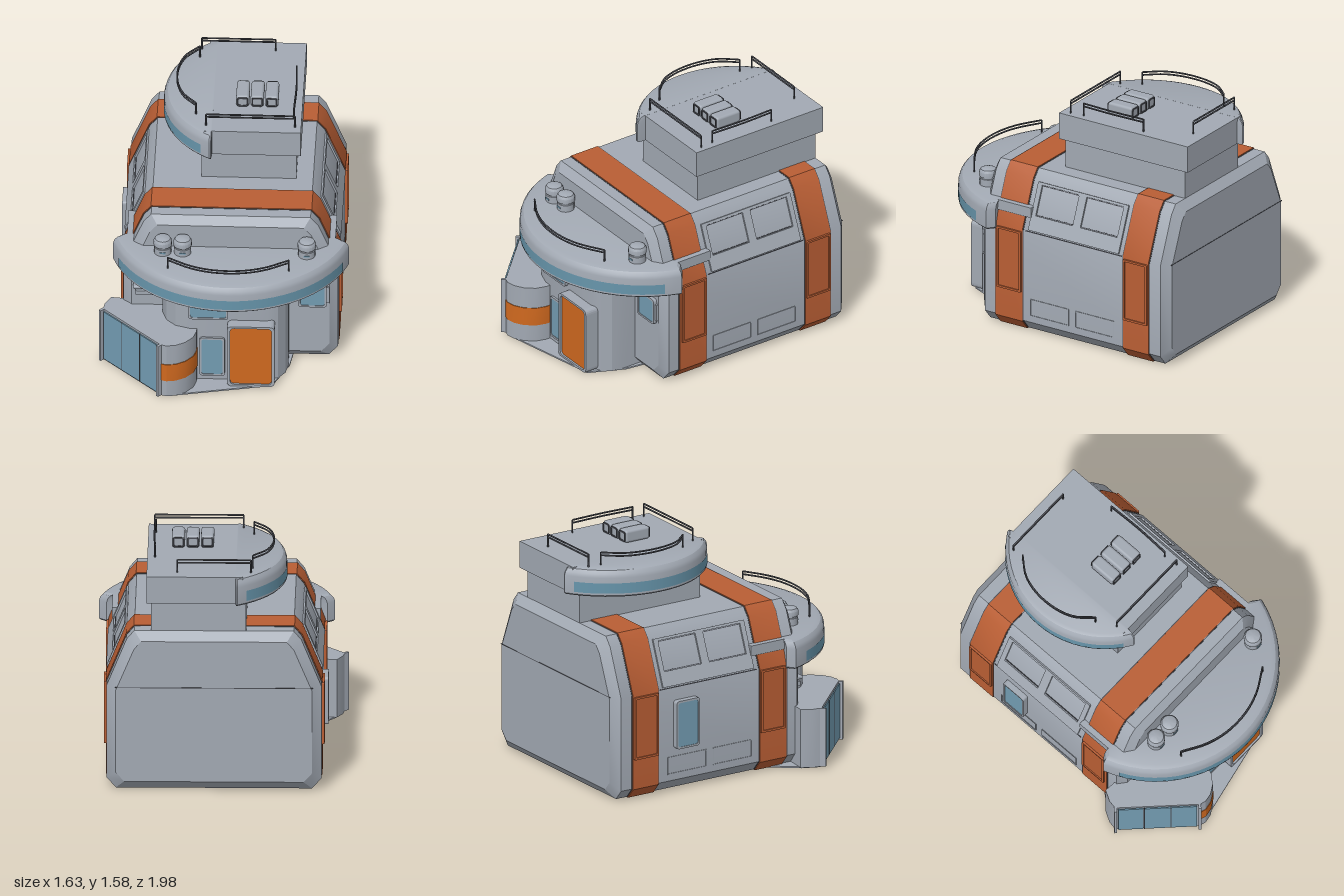
import * as THREE from 'three';
import { toCreasedNormals } from 'three/addons/utils/BufferGeometryUtils.js';
import { RoundedBoxGeometry } from 'three/addons/geometries/RoundedBoxGeometry.js';

const mat = (name, color, side = THREE.FrontSide) => {
  const m = new THREE.MeshStandardMaterial({ color, side });
  m.name = name;
  return m;
};

// Joins convex rings of [x, y, z] into a closed solid.
function loft(rings) {
  const n = rings[0].length, pos = rings.flat(2), idx = [];
  for (let r = 0; r < rings.length - 1; r++)
    for (let i = 0; i < n; i++) {
      const a = r * n + i, b = r * n + (i + 1) % n;
      idx.push(a, b, b + n, a, b + n, a + n);
    }
  const last = (rings.length - 1) * n;
  for (let i = 1; i < n - 1; i++) idx.push(0, i + 1, i, last, last + i, last + i + 1);
  // Turn the solid outward if its signed volume is negative
  const v = (k) => new THREE.Vector3().fromArray(pos, k * 3);
  let volume = 0;
  for (let i = 0; i < idx.length; i += 3) volume += v(idx[i]).dot(v(idx[i + 1]).cross(v(idx[i + 2])));
  if (volume < 0) idx.reverse();
  const g = new THREE.BufferGeometry();
  g.setAttribute('position', new THREE.Float32BufferAttribute(pos, 3));
  g.setIndex(idx);
  return toCreasedNormals(g, 0.45);
}

// Stacks a plan outline at [height, inset] levels, shrinking toward (cx, cz).
function stack(plan, levels, cx = 0, cz = 0) {
  return loft(levels.map(([y, d]) => plan.map(([x, z]) => {
    const k = 1 - d / Math.hypot(x - cx, z - cz);
    return [cx + (x - cx) * k, y, cz + (z - cz) * k];
  })));
}

function roundRect(w, h, r, Type = THREE.Shape) {
  const s = new Type(), x = w / 2, y = h / 2;
  s.moveTo(-x + r, -y).lineTo(x - r, -y).quadraticCurveTo(x, -y, x, -y + r);
  s.lineTo(x, y - r).quadraticCurveTo(x, y, x - r, y);
  s.lineTo(-x + r, y).quadraticCurveTo(-x, y, -x, y - r);
  s.lineTo(-x, -y + r).quadraticCurveTo(-x, -y, -x + r, -y);
  return s;
}

const extrude = (shape, depth) => new THREE.ExtrudeGeometry(shape, { depth, bevelEnabled: false, curveSegments: 5 });

function frameGeometry(w, h, border, depth, r = 0.01) {
  const s = roundRect(w, h, r);
  s.holes.push(roundRect(w - 2 * border, h - 2 * border, r * 0.8, THREE.Path));
  return extrude(s, depth);
}

export function createModel() {
  const root = new THREE.Group();
  root.name = 'outpostBuilding';
  const grey = mat('wallGrey', 0xa2a9b3);
  const rust = mat('bandRust', 0xb95e34);
  const orange = mat('doorOrange', 0xd0691f);
  const blue = mat('glassBlue', 0x739cb2);
  const visor = mat('visorBlue', 0x6795ab, THREE.DoubleSide);
  const dark = mat('railDark', 0x4b4d54);

  const add = (name, geo, m, x = 0, y = 0, z = 0, parent = root) => {
    const mesh = new THREE.Mesh(geo, m);
    mesh.name = name;
    mesh.position.set(x, y, z);
    parent.add(mesh);
    return mesh;
  };
  const box = (name, m, w, h, d, x, y, z, parent) => add(name, new THREE.BoxGeometry(w, h, d), m, x, y, z, parent);
  const windowUnit = (name, w, h, depth, x, y, z, parent = root) => {
    const g = new THREE.Group();
    g.name = name;
    g.position.set(x, y, z);
    parent.add(g);
    add('windowFrame', frameGeometry(w, h, 0.013, depth, 0.022), grey, 0, 0, 0, g);
    add('windowGlass', extrude(roundRect(w - 0.02, h - 0.02, 0.018), 0.006), blue, 0, 0, depth - 0.01, g);
    return g;
  };

  // Main hull with chamfered ends
  const half = [[0.64, 0.01], [0.70, 0.08], [0.70, 0.72], [0.57, 1.04], [0.52, 1.10]];
  const section = (z, d) => [...half, ...half.map(([x, y]) => [-x, y]).reverse()]
    .map(([x, y]) => [0.04 + x * (1 - d / 0.7), 0.555 + (y - 0.555) * (1 - d / 0.55), z]);
  add('mainHull', loft([section(-0.95, 0.06), section(-0.90, 0), section(0.475, 0), section(0.52, 0.055)]), grey);
  for (const [z0, z1] of [[0.18, 0.39], [-0.81, -0.61]]) {
    add('hullBand', loft([section(z0, -0.006), section(z1, -0.006)]), rust);
    for (const z of [z0 - 0.004, z1 + 0.004]) add('bandSeam', loft([section(z - 0.003, -0.002), section(z + 0.003, -0.002)]), dark);
  }
  box('backSeam', dark, 1.29, 0.005, 0.004, 0.04, 0.72, -0.95);

  // Fittings on both long sides
  for (const s of [1, -1]) {
    const side = new THREE.Group();
    side.name = s > 0 ? 'leftSide' : 'rightSide';
    side.position.set(0.04 + s * 0.70, 0, 0);
    side.rotation.y = s * Math.PI / 2;
    root.add(side);
    box('wallSeam', dark, 0.76, 0.006, 0.004, s * 0.22, 0.72, 0, side);
    for (const z of [0.28, -0.71]) {
      add('bandPanel', extrude(roundRect(0.19, 0.43, 0.008), 0.012), rust, -s * z, 0.495, 0, side);
      add('bandPanelFrame', frameGeometry(0.19, 0.43, 0.014, 0.02, 0.008), rust, -s * z, 0.495, 0, side);
    }
    for (const z of [-0.03, -0.385]) add('lowerPanel', frameGeometry(0.305, 0.12, 0.006, 0.004, 0.004), grey, -s * z, 0.185, 0, side);
    // Sloped roof panels
    const slope = new THREE.Group();
    slope.name = 'slopedPanels';
    slope.position.set(s * 0.22, 0.88, -0.065);
    slope.rotation.x = -0.386;
    side.add(slope);
    const frame = roundRect(0.71, 0.325, 0.006);
    for (const x of [-0.175, 0.175]) {
      const hole = new THREE.Path();
      hole.setFromPoints([[-0.145, -0.06], [0.145, -0.06], [0.145, 0.145], [-0.145, 0.145]].map(([a, b]) => new THREE.Vector2(x + a, b)));
      frame.holes.push(hole);
      for (const y of [-0.055, 0.14]) box('panelLine', dark, 0.28, 0.005, 0.004, x, y, 0.002, slope);
    }
    add('panelFrame', extrude(frame, 0.012), grey, 0, 0, 0, slope);
    box('canopyTrim', grey, 0.10, 0.07, 0.26, 0.04 + s * 0.63, 0.845, 0.26);
    if (s < 0) windowUnit('sideWindow', 0.18, 0.33, 0.04, -0.40, 0.465, 0, side);
  }

  // Front canopy with its curved visor
  const arc = (cx, cz, r, a0, a1, n) => Array.from({ length: n + 1 }, (_, i) => {
    const a = THREE.MathUtils.degToRad(a0 + (a1 - a0) * i / n);
    return [cx + r * Math.sin(a), cz + r * Math.cos(a)];
  });
  const canopy = [[-0.60, 0.40], [-0.68, 0.38], ...arc(0.04, 0.185, 0.805, -73, 73, 24), [0.76, 0.38], [0.68, 0.40]];
  add('canopy', stack(canopy, [[0.69, 0.012], [0.70, 0], [0.825, 0], [0.85, 0.008], [0.87, 0.025], [0.88, 0.055]], 0.04, 0.40), grey);
  const shell = (name, r, h, mid, spread, x, y, z) => {
    const d = THREE.MathUtils.degToRad;
    add(name, new THREE.CylinderGeometry(r, r, h, 24, 1, true, d(mid - spread), d(2 * spread)), visor, x, y, z);
  };
  shell('canopyVisor', 0.808, 0.07, 0, 65, 0.04, 0.75, 0.185);

  // Roof tower with rounded prow
  box('towerNeck', grey, 0.62, 0.24, 0.94, 0.14, 1.20, -0.43);
  box('towerHead', grey, 0.63, 0.183, 1.01, 0.165, 1.394, -0.435);
  const prow = [[-0.10, -0.95], [-0.105, -0.98], ...arc(0.219, -0.425, 0.649, -149, -31, 20), [-0.105, 0.13], [-0.10, 0.10]];
  add('towerProw', stack(prow, [[1.30, 0.01], [1.31, 0], [1.43, 0], [1.455, 0.008], [1.477, 0.025], [1.486, 0.05]], -0.10, -0.425), grey);
  shell('towerVisor', 0.652, 0.07, -90, 53, 0.219, 1.36, -0.425);

  // Railings: two rails with posts at both ends
  const railing = (name, pts, top, base, gap = 0.02) => {
    const g = new THREE.Group();
    g.name = name;
    root.add(g);
    for (const y of [top, top - gap]) {
      const curve = new THREE.CatmullRomCurve3(pts.map(([x, z]) => new THREE.Vector3(x, y, z)));
      add('rail', new THREE.TubeGeometry(curve, pts.length * 3, 0.006, 5), dark, 0, 0, 0, g);
    }
    for (const [x, z] of [pts[0], pts[pts.length - 1]])
      add('railPost', new THREE.CylinderGeometry(0.006, 0.006, top - base, 5), dark, x, (top + base) / 2, z, g);
  };
  railing('towerRailBack', [[-0.20, -0.85], [0.28, -0.85]], 1.573, 1.48);
  railing('towerRailLeft', [[0.43, -0.56], [0.437, -0.33], [0.43, -0.09]], 1.573, 1.48);
  railing('towerRailFront', [[-0.14, 0.005], [0.44, 0.005]], 1.573, 1.48);
  railing('towerRailCurved', [[-0.21, -0.76], [-0.30, -0.65], [-0.34, -0.52], [-0.34, -0.36], [-0.30, -0.23], [-0.21, -0.12]], 1.573, 1.48);
  railing('canopyRail', [[-0.36, 0.77], [-0.20, 0.86], [-0.05, 0.90], [0.12, 0.90], [0.27, 0.86], [0.43, 0.77]], 0.965, 0.87);

  // Roof air units
  for (const x of [0.09, 0.185, 0.28]) {
    add('airUnit', new RoundedBoxGeometry(0.086, 0.085, 0.19, 2, 0.018), grey, x, 1.53, -0.30);
    for (const [z, r] of [[-0.206, 0], [-0.394, Math.PI]])
      add('airUnitVent', frameGeometry(0.07, 0.066, 0.009, 0.006, 0.012), dark, x, 1.53, z).rotation.y = r;
  }

  // Domed canopy vents
  const dome = [[0.056, 0], [0.056, 0.05], [0.052, 0.053], [0.052, 0.06], [0.06, 0.064], [0.06, 0.095], [0.05, 0.112], [0.03, 0.12], [0, 0.122]]
    .map(([x, y]) => new THREE.Vector2(x, y));
  for (const x of [-0.40, -0.27, 0.54]) {
    add('canopyVent', toCreasedNormals(new THREE.LatheGeometry(dome, 20), 0.6), grey, x, 0.878, 0.585);
    box('ventLamp', blue, 0.04, 0.01, 0.004, x, 0.905, 0.641);
  }

  // Entrance block under the canopy
  const entrance = [[-0.40, 0.45], [-0.40, 0.60], [-0.37, 0.69], [-0.31, 0.75], [-0.22, 0.78], [0.29, 0.78], [0.36, 0.75], [0.405, 0.69], [0.42, 0.61], [0.42, 0.45]];
  add('entranceBlock', stack(entrance, [[0.008, 0], [0.70, 0]], 0, 0.5), grey);
  const arch = roundRect(0.31, 0.475, 0.035);
  arch.holes.push(roundRect(0.27, 0.445, 0.028, THREE.Path));
  add('doorFrame', extrude(arch, 0.10), grey, 0.185, 0.2455, 0.755);
  add('door', extrude(roundRect(0.275, 0.455, 0.028), 0.06), orange, 0.185, 0.237, 0.782);
  windowUnit('upperWindow', 0.26, 0.145, 0.03, -0.095, 0.573, 0.775);
  windowUnit('doorWindow', 0.165, 0.30, 0.02, -0.07, 0.195, 0.775);
  windowUnit('frontWindow', 0.185, 0.185, 0.03, 0.575, 0.525, 0.515);
  box('windowLatch', grey, 0.025, 0.12, 0.02, 0.672, 0.525, 0.525);

  // Wall pipes beside the entrance
  add('wallPipe', new RoundedBoxGeometry(0.11, 0.025, 0.05, 2, 0.01), grey, -0.54, 0.57, 0.54);
  box('pipeShelf', grey, 0.18, 0.03, 0.05, -0.49, 0.525, 0.53);
  box('pipeGap', dark, 0.17, 0.008, 0.008, -0.49, 0.545, 0.522);

  // Corner kiosk with glazed diagonal face
  const round = [[-0.40, 0.972], [-0.36, 0.985], [-0.30, 0.975], [-0.24, 0.94], [-0.19, 0.88], [-0.17, 0.81], [-0.17, 0.70]];
  add('kiosk', stack([[-0.74, 0.45], [-0.78, 0.52], [-0.79, 0.58], ...round, [-0.25, 0.50]], [[0.008, 0], [0.41, 0]], -0.45, 0.7), grey);
  add('kioskBand', stack([...round, [-0.25, 0.7]], [[0.13, -0.004], [0.26, -0.004]], -0.34, 0.80), orange);
  const glazing = new THREE.Group();
  glazing.name = 'kioskGlazing';
  glazing.position.set(-0.598, 0, 0.779);
  glazing.rotation.y = -Math.PI / 4;
  root.add(glazing);
  for (const i of [-1, 0, 1]) box('kioskGlass', blue, 0.166, 0.375, 0.008, i * 0.174, 0.212, 0.004, glazing);
  for (const i of [-0.5, 0.5]) box('kioskMullion', dark, 0.006, 0.375, 0.01, i * 0.174 * 2 / 2, 0.212, 0.004, glazing);
  for (const i of [-1, 1]) box('kioskFin', grey, 0.018, 0.40, 0.04, i * 0.275, 0.21, 0.005, glazing);

  // Floor slab joining hull, entrance and kiosk
  add('floorSlab', stack([[-0.50, 0.15], [-0.74, 0.46], [-0.79, 0.58], [-0.41, 0.965], [-0.30, 0.97], [0.33, 0.84], [0.44, 0.60], [0.50, 0.15]], [[0, 0.01], [0.01, 0.01]], 0, 0.5), grey);
  return root;
}
